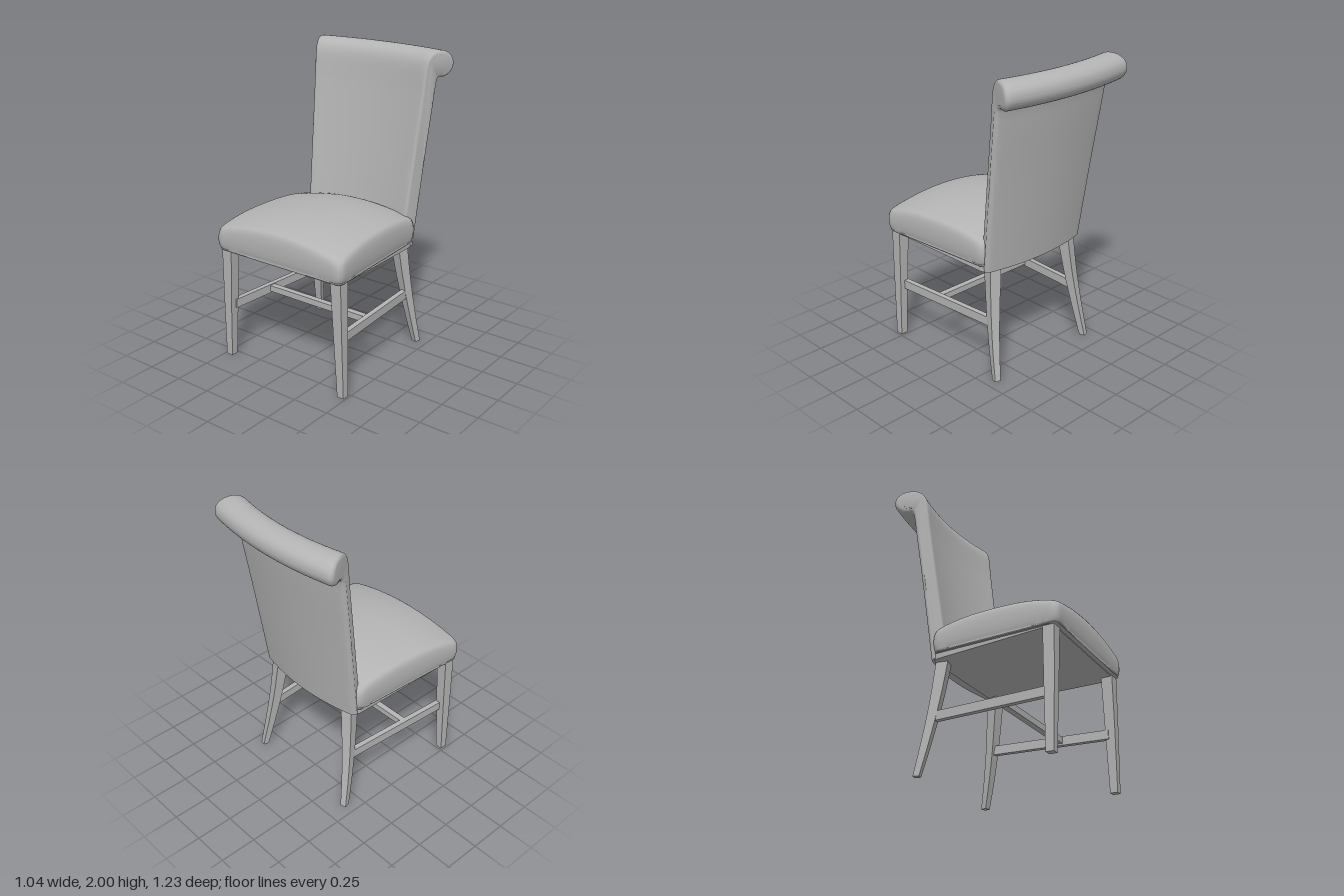
import * as THREE from 'three';
import { toCreasedNormals } from 'three/addons/utils/BufferGeometryUtils.js';

const grey = new THREE.MeshStandardMaterial({ color: 0xb4b4b4 });
grey.name = 'plain grey';

// Skin a list of equal rings, each counter-clockwise seen from the far end.
function loft(rings, crease, capTriangles) {
  const n = rings[0].length;
  const index = [];
  for (let k = 0; k < rings.length - 1; k++) {
    for (let i = 0; i < n; i++) {
      const j = (i + 1) % n, a = k * n, b = a + n;
      index.push(a + i, a + j, b + j, a + i, b + j, b + i);
    }
  }
  const caps = capTriangles || Array.from({ length: n - 2 }, (_, i) => [0, i + 1, i + 2]);
  const last = (rings.length - 1) * n;
  for (const [a, b, c] of caps) index.push(c, b, a, last + a, last + b, last + c);
  const geometry = new THREE.BufferGeometry();
  geometry.setAttribute('position', new THREE.Float32BufferAttribute(rings.flat(2), 3));
  geometry.setIndex(index);
  return toCreasedNormals(geometry, crease);
}

function add(group, name, geometry) {
  const mesh = new THREE.Mesh(geometry, grey);
  mesh.name = name;
  group.add(mesh);
  return mesh;
}

// Rounded trapezoid plan of the seat, as [x, z] points.
function seatOutline() {
  const corners = [[-0.5, -0.612], [0.5, -0.612], [0.447, 0.275], [-0.447, 0.275]]
    .map(([x, y]) => new THREE.Vector2(x, y));
  const shape = new THREE.Shape();
  corners.forEach((c, i) => {
    const before = corners[(i + 3) % 4].clone().sub(c).setLength(0.05).add(c);
    const after = corners[(i + 1) % 4].clone().sub(c).setLength(0.05).add(c);
    if (i) shape.lineTo(before.x, before.y);
    else shape.moveTo(before.x, before.y);
    shape.quadraticCurveTo(c.x, c.y, after.x, after.y);
  });
  shape.closePath();
  return shape.getSpacedPoints(160).slice(0, -1).map(p => [p.x, -p.y]);
}

// Domed cushion with a small bead round its lower edge.
function seatGeometry(outline) {
  const zc = 0.17, base = 0.768;
  const top = (x, z) => 1.032 - 0.065 * (x / 0.48) ** 2
    - 0.055 * Math.abs((z - zc) / 0.43) ** 2.5;
  const levels = [[0.96, 0], [0.978, 0.01], [0.984, 0.04], [0.978, 0.075], [0.985, 0.12],
    [0.994, 0.25], [1, 0.42], [1, 0.6], [0.997, 0.72], [0.99, 0.84], [0.978, 0.93],
    [0.96, 0.98], [0.935, 1]];
  for (let s = 0.88; s > 0.01; s -= 0.08) levels.push([s, 1]);
  const rings = levels.map(([s, f]) => outline.map(([px, pz]) => {
    const x = px * s, z = zc + (pz - zc) * s;
    return [x, base + f * (top(x, z) - base), z];
  }));
  return loft(rings, 0.8);
}

// Shallow frame below the cushion, deeper towards the rear.
function frameGeometry(outline) {
  const plan = outline.map(([x, z]) => [x * 0.95, 0.15 + (z - 0.17) * 0.96]);
  return loft([
    plan.map(([x, z]) => [x, 0.763 - 0.034 * (0.6 - z) / 0.9, z]),
    plan.map(([x, z]) => [x, 0.78, z]),
  ], 0.6);
}

// Curved, leaning back whose profile rolls over at the top.
function backGeometry() {
  const curve = new THREE.SplineCurve([
    [0.285, 0.735], [0.36, 1.3], [0.41, 1.65], [0.428, 1.78], [0.445, 1.828], [0.49, 1.828],
    [0.53, 1.845], [0.555, 1.88], [0.56, 1.92], [0.545, 1.96], [0.505, 1.99], [0.45, 2],
    [0.405, 1.988], [0.37, 1.955], [0.35, 1.9], [0.337, 1.8], [0.325, 1.7], [0.28, 1.38],
    [0.222, 0.97], [0.19, 0.735],
  ].map(([u, y]) => new THREE.Vector2(u, y)));
  const profile = curve.getPoints(95);
  const normals = profile.map((p, i) => {
    const d = profile[Math.min(i + 1, 95)].clone().sub(profile[Math.max(i - 1, 0)]).normalize();
    return new THREE.Vector2(d.y, -d.x);
  });
  const r = 0.024;
  const stations = [];
  for (let i = 5; i > 0; i--) stations.push([-1, i * Math.PI / 10]);
  for (let i = 0; i <= 24; i++) stations.push([i / 12 - 1, 0]);
  for (let i = 1; i <= 5; i++) stations.push([1, i * Math.PI / 10]);
  const rings = stations.map(([t, a]) => profile.map((p, i) => {
    const inset = r * (1 - Math.cos(a));
    const half = 0.4 + 0.34 * (p.x - 0.21);
    const x = t * (half - r + r * Math.sin(a));
    const z = -(p.x - normals[i].x * inset) - 0.055 * (1 - (x / half) ** 2);
    return [x, p.y - normals[i].y * inset, z];
  }));
  return loft(rings, 0.8, THREE.ShapeUtils.triangulateShape(profile, []));
}

// Square-section post through stations [x, y, z, halfX, halfZ], turned about its axis.
function postGeometry(stations, turn = 0) {
  const c = Math.cos(turn), s = Math.sin(turn);
  return loft(stations.map(([x, y, z, hx, hz]) =>
    [[-hx, hz], [hx, hz], [hx, -hz], [-hx, -hz]].map(([dx, dz]) =>
      [x + dx * c + dz * s, y, z - dx * s + dz * c])), 0.5);
}

export function createModel() {
  const chair = new THREE.Group();
  chair.name = 'diningChair';
  const outline = seatOutline();
  add(chair, 'seatCushion', seatGeometry(outline));
  add(chair, 'seatFrame', frameGeometry(outline));
  add(chair, 'rolledBack', backGeometry());

  // Sabre curve of the rear legs
  const rearCurve = new THREE.CatmullRomCurve3([
    [0.335, 0.765, -0.242], [0.356, 0.55, -0.265], [0.375, 0.38, -0.288],
    [0.397, 0.19, -0.321], [0.418, 0, -0.36],
  ].map(p => new THREE.Vector3(...p)));
  const rearPoints = rearCurve.getPoints(16).reverse();

  for (const side of [1, -1]) {
    const label = side > 0 ? 'left' : 'right';
    add(chair, label + 'FrontLeg', postGeometry([
      [side * 0.463, 0, 0.54, 0.024, 0.025],
      [side * 0.45, 0.4, 0.542, 0.031, 0.033],
      [side * 0.437, 0.775, 0.543, 0.039, 0.038],
    ]));
    add(chair, label + 'RearLeg', postGeometry(rearPoints.map(p => {
      const h = 0.02 + 0.018 * Math.min(1, p.y / 0.7);
      return [side * p.x, p.y, p.z, h, h];
    }), -side * 0.25));

    // Side stretcher from front leg to rear leg
    const from = new THREE.Vector3(side * 0.43, 0.375, 0.53);
    const to = new THREE.Vector3(side * 0.375, 0.375, -0.28);
    const rail = add(chair, label + 'Stretcher',
      new THREE.BoxGeometry(0.036, 0.06, from.distanceTo(to)));
    rail.position.copy(from).add(to).multiplyScalar(0.5);
    rail.rotation.y = Math.atan2(from.x - to.x, from.z - to.z);
  }

  // Cross stretcher joining the two side stretchers
  add(chair, 'crossStretcher', new THREE.BoxGeometry(0.81, 0.042, 0.042))
    .position.set(0, 0.378, 0.2);
  return chair;
}
